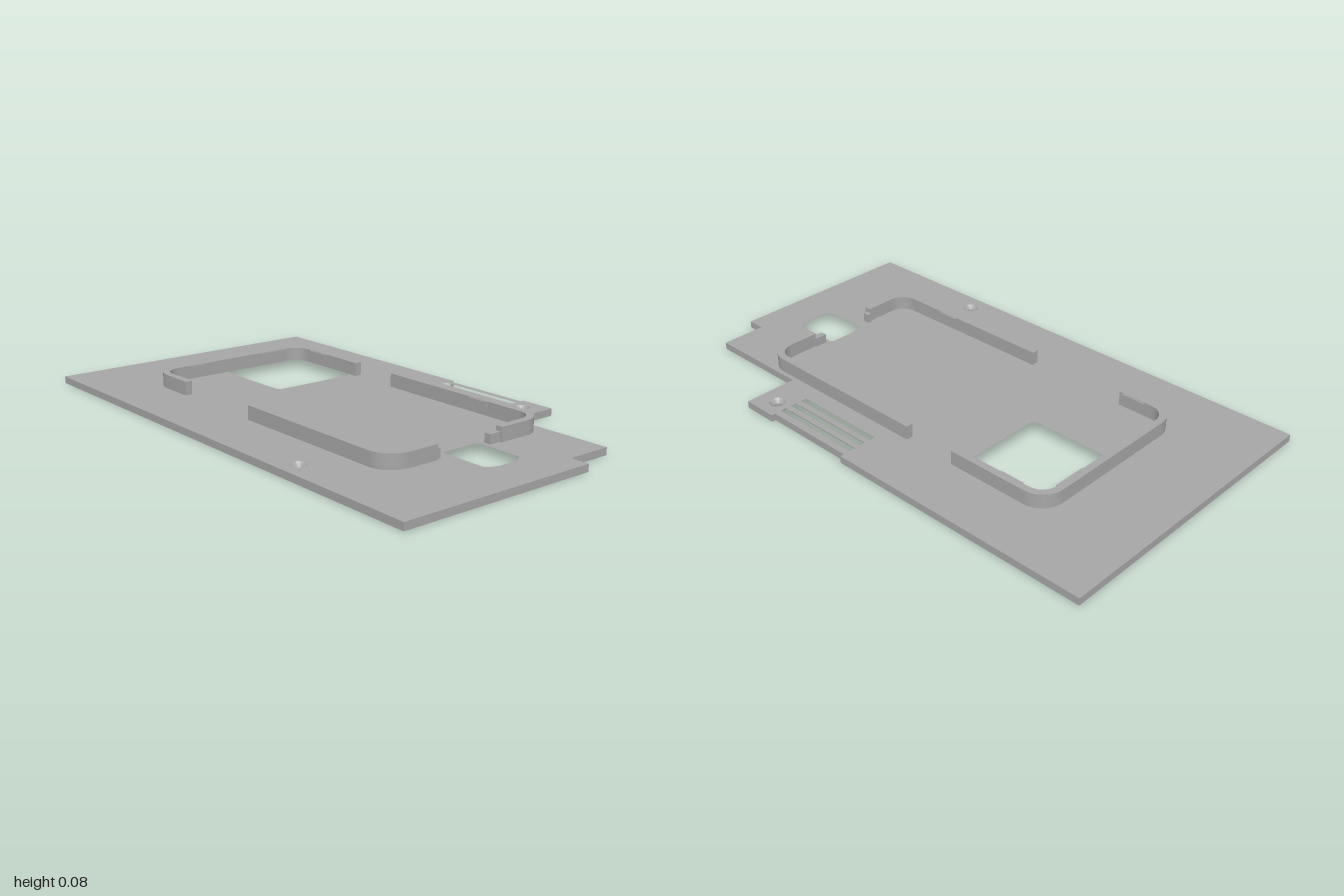
import * as THREE from 'three';
import { toCreasedNormals } from 'three/addons/utils/BufferGeometryUtils.js';

const PLATE = 0.027, TOP = 0.08;      // plate thickness, rim height
const OX = 0.353, OZ = 0.682, T = 0.027, R = 0.09; // rim outer half sizes, thickness, corner radius

export function createModel() {
  const group = new THREE.Group();
  const grey = new THREE.MeshStandardMaterial({ color: 0xa6a6a6 });

  const add = (name, geometry, x = 0, y = 0, z = 0) => {
    const mesh = new THREE.Mesh(geometry, grey);
    mesh.name = name;
    mesh.position.set(x, y, z);
    group.add(mesh);
  };
  // Plan outlines are given as [x, z] and extruded upwards
  const vectors = (pts) => pts.map(([x, z]) => new THREE.Vector2(x, -z));
  const extrude = (shape, depth) => {
    const g = new THREE.ExtrudeGeometry(shape, { depth, bevelEnabled: false, curveSegments: 16 });
    return toCreasedNormals(g.rotateX(-Math.PI / 2), 0.5);
  };
  const arc = (cx, cz, r, from, to, n = 8) => Array.from({ length: n + 1 }, (_, i) => {
    const a = from + (to - from) * i / n;
    return [cx + r * Math.cos(a), cz + r * Math.sin(a)];
  });
  const rounded = (x0, z0, x1, z1, r) => [
    ...arc(x1 - r, z1 - r, r, 0, Math.PI / 2, 5),
    ...arc(x0 + r, z1 - r, r, Math.PI / 2, Math.PI, 5),
    ...arc(x0 + r, z0 + r, r, Math.PI, Math.PI * 1.5, 5),
    ...arc(x1 - r, z0 + r, r, Math.PI * 1.5, Math.PI * 2, 5),
  ];

  // Base plate with stepped corner and a notch in the vented edge
  const plate = new THREE.Shape(vectors([
    [-0.575, -1], [0.575, -1], [0.575, 0.02], [0.56, 0.02], [0.56, 0.385], [0.575, 0.385],
    [0.575, 0.52], [0.37, 0.52], [0.37, 0.93], [0.195, 0.93], [0.195, 1], [-0.575, 1],
  ]));
  const cut = (pts) => plate.holes.push(new THREE.Path(vectors(pts)));
  cut(rounded(-0.035, -0.66, 0.325, -0.305, 0.025));
  cut([
    [-0.08, 0.645], [-0.07, 0.635], [0.07, 0.635], [0.08, 0.645], [0.08, 0.815],
    [0.065, 0.83], [0.035, 0.84], [-0.035, 0.84], [-0.065, 0.83], [-0.08, 0.815],
  ]);
  for (const x of [0.419, 0.465, 0.51]) {
    cut([[x, 0.02], [x + 0.024, 0.02], [x + 0.024, 0.385], [x, 0.385]]);
  }
  const screws = [-0.505, 0.505];
  for (const x of screws) cut(arc(x, 0.44, 0.03, 0, Math.PI * 2, 32).slice(0, 32));
  add('basePlate', extrude(plate, PLATE));

  // Countersunk screw seats
  const seat = [[0.03, PLATE], [0.016, 0.01], [0.016, 0], [0.03, 0]];
  for (const x of screws) {
    const g = new THREE.LatheGeometry(seat.map(([r, y]) => new THREE.Vector2(r, y)), 32);
    add('screwSeat', toCreasedNormals(g, 0.5), x, 0, 0.44);
  }

  // Rim corners: side arm, rounded corner, end arm
  const rimCorner = (name, sx, sz, armEnd, endX) => {
    const pts = [
      [OX, armEnd * sz], ...arc(OX - R, OZ - R, R, 0, Math.PI / 2, 12), [endX, OZ],
      [endX, OZ - T], ...arc(OX - R, OZ - R, R - T, Math.PI / 2, 0, 12), [OX - T, armEnd * sz],
    ].map(([x, z]) => [x * sx, z * sz]);
    add(name, extrude(new THREE.Shape(vectors(pts)), TOP - PLATE), 0, PLATE, 0);
  };
  rimCorner('backLeftRim', 1, -1, -0.28, 0);
  rimCorner('backRightRim', -1, -1, -0.455, 0);
  rimCorner('frontLeftRim', 1, 1, -0.07, 0.143);
  rimCorner('frontRightRim', -1, 1, -0.05, 0.143);

  const box = (name, x0, x1, y0, y1, z0, z1) => add(name,
    new THREE.BoxGeometry(x1 - x0, y1 - y0, z1 - z0), (x0 + x1) / 2, (y0 + y1) / 2, (z0 + z1) / 2);

  // Low tabs beside the front opening
  box('rightTab', -0.143, -0.126, PLATE, 0.062, 0.648, 0.674);
  box('leftTab', 0.097, 0.143, PLATE, 0.062, 0.648, 0.674);

  // Small retaining ridges on the inside of the rim
  for (const s of [-1, 1]) {
    const a = s * (OX - T), b = s * (OX - T - 0.006);
    for (const [z0, z1] of [[-0.565, -0.47], [0.35, 0.44]]) {
      box('sideRidge', Math.min(a, b), Math.max(a, b), 0.06, TOP - 0.002, z0, z1);
    }
  }
  for (const [x0, x1] of [[-0.21, -0.13], [0.13, 0.26]]) {
    box('backRidge', x0, x1, 0.06, TOP - 0.002, -OZ + T, -OZ + T + 0.006);
  }
  return group;
}
